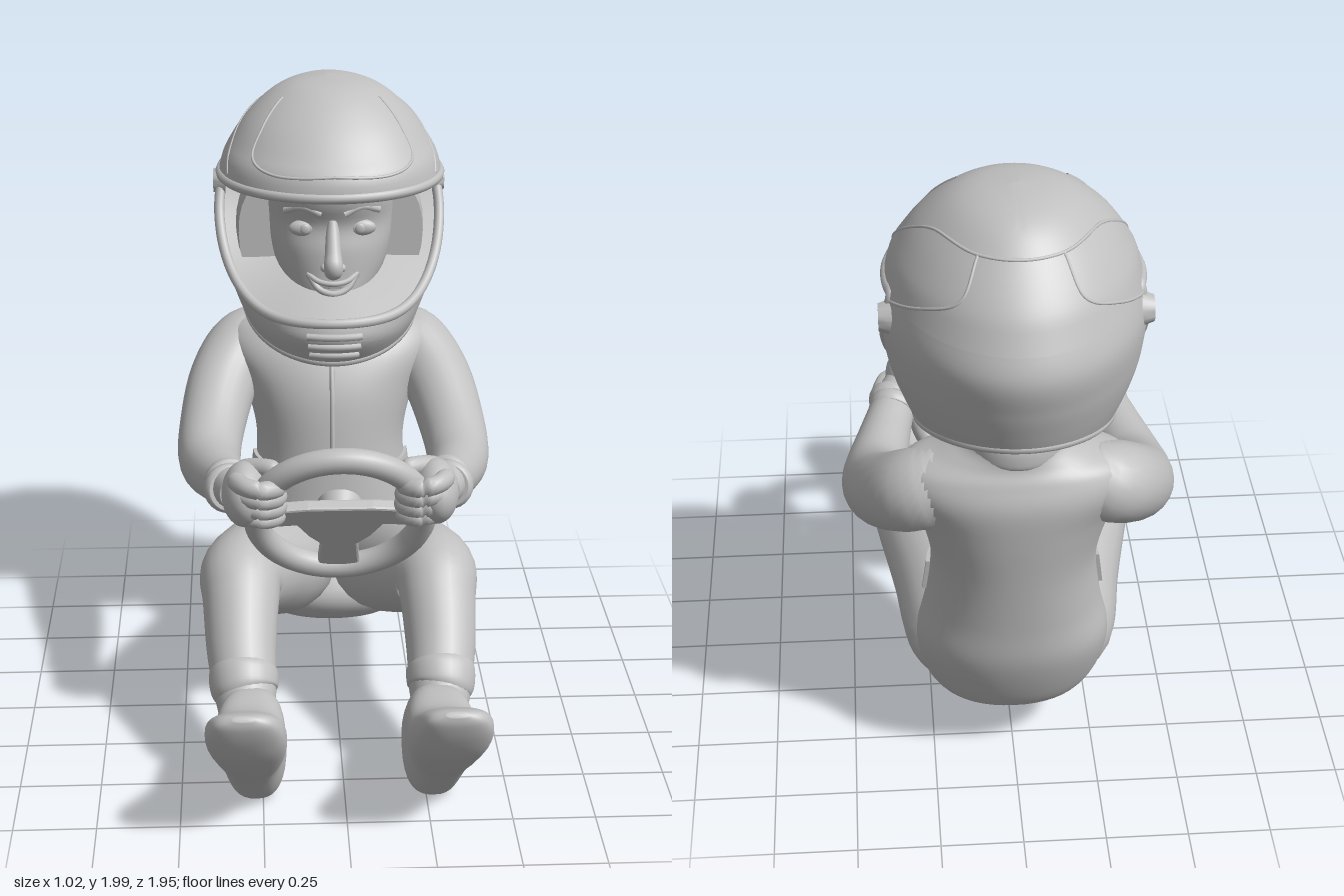
import * as THREE from 'three';
import { toCreasedNormals } from 'three/addons/utils/BufferGeometryUtils.js';

const V = (x, y, z) => new THREE.Vector3(x, y, z);
const grey = new THREE.MeshStandardMaterial({ color: 0xc0c0c0, side: THREE.DoubleSide });
grey.name = 'plain grey';

// Smooth interpolation through rows of numbers, t from 0 to 1
function spline(rows, t) {
  const n = rows.length - 1, f = Math.min(t, 1) * n, i = Math.min(Math.floor(f), n - 1), u = f - i;
  const [a, b, c, d] = [-1, 0, 1, 2].map(k => rows[Math.min(Math.max(i + k, 0), n)]);
  return b.map((_, k) => b[k] + 0.5 * u * (c[k] - a[k] + u * (2 * a[k] - 5 * b[k] + 4 * c[k] - d[k]
    + u * (3 * (b[k] - c[k]) + d[k] - a[k]))));
}

// Closed skin: fn(angle, v) around and along, capped at both ends, wound outwards
function skin(fn, sides, steps) {
  const pos = [], idx = [], ends = [V(0, 0, 0), V(0, 0, 0)];
  for (let j = 0; j <= steps; j++) for (let i = 0; i < sides; i++) {
    const p = fn(i / sides * Math.PI * 2, j / steps);
    pos.push(p);
    if (j === 0) ends[0].addScaledVector(p, 1 / sides);
    if (j === steps) ends[1].addScaledVector(p, 1 / sides);
  }
  const c = pos.length;
  pos.push(...ends);
  for (let i = 0; i < sides; i++) {
    const k = (i + 1) % sides, last = steps * sides;
    for (let j = 0; j < steps; j++) {
      const a = j * sides + i, b = j * sides + k;
      idx.push(a, b, a + sides, b, b + sides, a + sides);
    }
    idx.push(c, k, i, c + 1, last + i, last + k);
  }
  let volume = 0;
  for (let i = 0; i < idx.length; i += 3)
    volume += pos[idx[i]].dot(V(0, 0, 0).crossVectors(pos[idx[i + 1]], pos[idx[i + 2]]));
  if (volume < 0) idx.reverse();
  const g = new THREE.BufferGeometry().setFromPoints(pos);
  g.setIndex(idx);
  g.computeVertexNormals();
  return g;
}

// Round limb through rows of x, y, z, radius
function limb(rows, sides = 24, steps = 48) {
  return skin((a, v) => {
    const [x, y, z, r] = spline(rows, v);
    const p = spline(rows, Math.max(v - 0.01, 0)), q = spline(rows, Math.min(v + 0.01, 1));
    const t = V(q[0] - p[0], q[1] - p[1], q[2] - p[2]).normalize();
    const s = V(1, 0, 0).addScaledVector(t, -t.x).normalize(), n = V(0, 0, 0).crossVectors(t, s);
    return V(x, y, z).addScaledVector(s, r * Math.cos(a)).addScaledVector(n, r * Math.sin(a));
  }, sides, steps);
}

const tube = (pts, r, closed = false, n = 64) =>
  new THREE.TubeGeometry(new THREE.CatmullRomCurve3(pts.map(p => p.isVector3 ? p : V(...p)), closed), n, r, 10, closed);
const span = (n, f) => Array.from({ length: n }, (_, i) => f(i / (n - 1)));
const pw = (c, e) => Math.sign(c) * Math.abs(c) ** e;
// Horizontal oval given front z, back z and half width
const oval = (y, zf, zb, w, a, e = 1) =>
  V(w * pw(Math.sin(a), e), y, (zf + zb) / 2 + (zf - zb) / 2 * pw(Math.cos(a), e));

// Helmet sections: y, front z, back z, half width; narrower towards the back
const HELMET = [[2, -.55, -.55, 0], [1.985, -.42, -.67, .105], [1.95, -.34, -.755, .185], [1.88, -.25, -.83, .265],
  [1.8, -.175, -.9, .322], [1.74, -.13, -.935, .35], [1.62, -.12, -.98, .372], [1.5, -.13, -.955, .366],
  [1.4, -.14, -.92, .345], [1.3, -.14, -.88, .31], [1.22, -.13, -.86, .275], [1.13, -.19, -.84, .235]];
function helmetPoint(a, y, inset = 0) {
  let lo = 0, hi = 1;
  for (let k = 0; k < 24; k++) {
    const m = (lo + hi) / 2;
    if (spline(HELMET, m)[0] > y) lo = m; else hi = m;
  }
  const [, zf, zb, w] = spline(HELMET, lo), i = Math.min(inset, w, (zf - zb) / 2);
  return oval(y, zf - i, zb + i, (w - i) * (1 + .11 * Math.cos(a)), a);
}
const wrap = a => Math.abs(a > Math.PI ? a - 2 * Math.PI : a);
const openAngle = 1.75, browY = 1.69, wall = .055;
const sillY = a => 1.28 + (browY - 1.28) * Math.min(1, wrap(a) / openAngle) ** 4;
const rimY = a => 1.25 - .115 * Math.cos(a);

// Torso sections: y, centre z, depth, half width
const TORSO = [[.155, -.42, .04, .15], [.17, -.42, .12, .19], [.21, -.415, .195, .24], [.3, -.425, .24, .285], [.45, -.495, .225, .295],
  [.6, -.51, .23, .265], [.78, -.53, .235, .25], [.95, -.555, .235, .29], [1.07, -.585, .215, .345],
  [1.145, -.605, .175, .325], [1.19, -.615, .145, .22], [1.23, -.62, .135, .15], [1.3, -.62, .13, .13]];
const torso = (a, v, grow = 0) => {
  const [y, z, d, w] = spline(TORSO, v);
  return oval(y, z + d + grow, z - d - grow, w + grow, a, .94);
};

// Shoe sections: distance from heel, sole, top, half width, x
const SHOE = [[-.018, .03, .16, .03, .27], [-.01, .002, .22, .075, .27], [.02, -.012, .27, .09, .272], [.08, -.018, .295, .098, .275],
  [.2, -.025, .28, .102, .285], [.3, -.035, .17, .11, .29], [.42, -.04, .115, .118, .298], [.51, -.025, .085, .11, .303],
  [.575, -.002, .055, .08, .303], [.6, .018, .036, .03, .303]];

// Head sections: y, front z, back z, half width
const FACE = [[1.24, -.4, -.5, .03], [1.27, -.3, -.6, .09], [1.32, -.262, -.65, .135], [1.4, -.265, -.69, .178],
  [1.48, -.27, -.7, .198], [1.56, -.283, -.7, .205], [1.64, -.255, -.7, .205], [1.72, -.26, -.68, .2], [1.78, -.4, -.6, .1]];

// Panel lines on the helmet: angle from the front, y
const SEAMS = [[[0, 1.76], [.5, 1.755], [.8, 1.79], [.85, 1.87], [.9, 1.95]],
  [[1.1, 1.72], [1.35, 1.82], [1.85, 1.9], [2.6, 1.9], [Math.PI, 1.9]],
  [[1.75, 1.68], [2.2, 1.74], [2.55, 1.8], [2.6, 1.9]]];

export function createModel() {
  const root = new THREE.Group();
  const add = (name, g, parent = root) => {
    const m = new THREE.Mesh(g, grey);
    m.name = name;
    parent.add(m);
    return m;
  };
  const ball = (name, p, s) => {
    const m = add(name, new THREE.SphereGeometry(1, 24, 16));
    m.position.set(...p);
    m.scale.set(...s);
  };

  // Body
  add('torso', skin((a, v) => torso(a, v), 48, 72));
  add('waistBelt', toCreasedNormals(skin((a, v) => {
    const corner = Math.round(a / Math.PI * 2);
    return torso((v - .5) * 3.1, corner < 2 ? .417 : .468, corner === 1 || corner === 2 ? .012 : -.01);
  }, 4, 40), .8));
  add('zip', tube(span(9, t => torso(0, .46 + t * .36)), .008));
  add('collar', limb([[0, 1.19, -.61, .14], [0, 1.22, -.612, .152], [0, 1.27, -.618, .147], [0, 1.29, -.62, .13]], 36, 12));
  add('neck', limb([[0, 1.2, -.61, .13], [0, 1.45, -.58, .13]], 24, 4));

  // Helmet shell: dome above the opening, jaw below it
  add('helmetDome', toCreasedNormals(skin((a, v) => {
    const s = v < .5 ? v * 2 : 2 - v * 2, k = s * s;
    return v <= .5 ? helmetPoint(a, 2 - (2 - browY) * k) : helmetPoint(a, 1.955 - (1.955 - browY) * k, wall);
  }, 96, 60), .8));
  add('helmetJaw', toCreasedNormals(skin((a, v) => {
    const s = v < .5 ? Math.min(v / .48, 1) : Math.min((1 - v) / .48, 1);
    return helmetPoint(a, sillY(a) + (rimY(a) - sillY(a)) * s, v < .5 || v === 1 ? 0 : wall);
  }, 96, 50), .8));
  add('visorFrame', tube([
    ...span(30, t => { const a = openAngle * (2 * t - 1) * .98; return helmetPoint(a, sillY(a), .008); }),
    ...span(30, t => helmetPoint(openAngle * (1 - 2 * t) * .99, browY + .005, .008))], .017, true, 160));
  add('helmetRim', tube(span(48, t => helmetPoint(t * 2 * Math.PI * 47 / 48, rimY(t * 2 * Math.PI * 47 / 48), .01)), .015, true, 120));
  add('helmetLiner', toCreasedNormals(skin((a, v) => {
    const [z, rx, ry, y] = spline([[-.44, .3, .23, 1.5], [-.6, .3, .24, 1.5], [-.83, .17, .19, 1.56]], v);
    return V(rx * pw(Math.cos(a), .8), y + ry * pw(Math.sin(a), .8), z);
  }, 40, 12), .8));
  for (let i = 0; i < 3; i++)
    add('chinVent', tube(span(7, t => helmetPoint((t - .5) * .56, 1.17 + i * .035, 0)), .012, false, 16));

  // Head and face
  add('head', skin((a, v) => oval(...spline(FACE, v), a, .94), 40, 40));
  add('nose', limb([[0, 1.58, -.287, .014], [0, 1.54, -.273, .022], [0, 1.48, -.24, .027], [0, 1.445, -.218, .031],
    [0, 1.425, -.238, .027], [0, 1.415, -.265, .008]], 20, 30));
  add('upperLip', tube([[-.08, 1.405, -.29], [-.045, 1.385, -.265], [0, 1.379, -.254], [.045, 1.385, -.265], [.08, 1.405, -.29]], .009));
  add('lowerLip', tube([[-.075, 1.4, -.288], [-.045, 1.36, -.266], [0, 1.346, -.253], [.045, 1.36, -.266], [.075, 1.4, -.288]], .011));
  ball('teeth', [0, 1.37, -.278], [.06, .02, .018]);
  ball('chin', [0, 1.3, -.285], [.06, .035, .04]);

  // Steering wheel
  const wheel = new THREE.Group();
  wheel.name = 'steeringWheel';
  wheel.position.set(0, .8, .26);
  wheel.rotation.x = .49;
  root.add(wheel);
  add('wheelRim', new THREE.TorusGeometry(.26, .04, 18, 64), wheel);
  const spokes = new THREE.Shape([[-.25, .03], [-.1, .045], [.1, .045], [.25, .03], [.25, -.03], [.13, -.02], [.09, -.08], [.05, -.12], [.06, -.25],
    [-.06, -.25], [-.05, -.12], [-.09, -.08], [-.13, -.02], [-.25, -.03]].map(p => new THREE.Vector2(...p)));
  add('wheelSpokes', new THREE.ExtrudeGeometry(spokes, { depth: .025, bevelSize: .008, bevelThickness: .008, bevelSegments: 2 }), wheel).position.z = -.012;
  const hub = add('wheelHub', toCreasedNormals(new THREE.CylinderGeometry(.06, .07, .06, 32), .6), wheel);
  hub.rotation.x = Math.PI / 2;
  hub.position.set(0, -.02, -.03);

  // Paired parts, mirrored across x
  for (const s of [1, -1]) {
    const side = s > 0 ? 'left' : 'right';
    const m = rows => rows.map(([x, ...rest]) => [x * s, ...rest]);
    add(side + 'Arm', limb(m([[.13, 1.07, -.62, .06], [.2, 1.075, -.625, .105], [.285, 1.05, -.615, .122], [.36, .965, -.5, .117], [.4, .86, -.32, .108],
      [.405, .81, -.17, .1], [.375, .825, 0, .083], [.335, .86, .16, .068], [.31, .87, .24, .06]])));
    for (const z of [.12, .165])
      add(side + 'Cuff', limb(m([[.348, .85, z - .025, .068], [.345, .853, z - .01, .077], [.34, .857, z + .012, .077], [.336, .86, z + .025, .066]]), 24, 10));
    // Gloved fist around the rim
    ball(side + 'Palm', [.292 * s, .88, .27], [.072, .1, .115]);
    for (let i = 0; i < 4; i++) {
      const y = .812 + i * .04, o = (y - .8) * .4 - .025, r = i === 0 ? .025 : .029;
      add(side + 'Finger', limb(m([[.325, y + .01, .25 + o, .01], [.318, y + .01, .29 + o, r], [.292, y + .012, .34 + o, r], [.245, y + .006, .358 + o, r],
        [.2, y, .33 + o, r], [.19, y - .005, .285 + o, r * .9], [.192, y - .005, .266 + o, .006]]), 14, 30));
    }
    add(side + 'Thumb', limb(m([[.32, .9, .18, .02], [.29, .935, .22, .036], [.24, .96, .26, .03], [.2, .965, .285, .026], [.185, .965, .29, .006]]), 16, 24));

    // Leg, ankle cuff and shoe
    add(side + 'Leg', limb(m([[.14, .36, -.58, .05], [.15, .36, -.45, .165], [.18, .43, -.22, .182], [.25, .5, -.02, .16], [.305, .538, .13, .135],
      [.31, .495, .225, .12], [.31, .385, .35, .108], [.3, .29, .46, .095], [.3, .24, .52, .08]])));
    add(side + 'AnkleCuff', limb(m([[.305, .35, .395, .095], [.305, .335, .412, .107], [.303, .3, .448, .104], [.3, .285, .463, .09]]), 28, 14));
    add(side + 'Shoe', skin((a, v) => {
      const [d, lo, hi, w, x] = spline(SHOE, v), n = (lo + hi) / 2 + (hi - lo) / 2 * pw(Math.sin(a), .8);
      return V(s * (x + w * pw(Math.cos(a), .8)), .012 + .764 * d + .645 * n, .6 + .645 * d - .764 * n);
    }, 36, 44));

    // Helmet fittings and seams
    const pivot = add(side + 'VisorPivot', toCreasedNormals(new THREE.CylinderGeometry(.038, .052, .04, 28), .6));
    pivot.rotation.z = -s * Math.PI / 2;
    pivot.position.set(.362 * s, 1.63, -.615);
    for (const path of SEAMS)
      add('helmetSeam', tube(span(24, t => {
        const [a, y] = spline(path, t);
        return helmetPoint(a * s, y, .002);
      }), .005, false, 60));

    // Eyes and brows
    ball(side + 'Eye', [.092 * s, 1.552, -.308], [.048, .027, .02]);
    ball(side + 'Iris', [.088 * s, 1.552, -.291], [.016, .017, .007]);
    add(side + 'Brow', tube(m([[.035, 1.605, -.272], [.09, 1.625, -.29], [.15, 1.605, -.332]]), .012, false, 20));
    ball(side + 'Nostril', [.025 * s, 1.435, -.25], [.016, .014, .02]);
  }
  return root;
}
